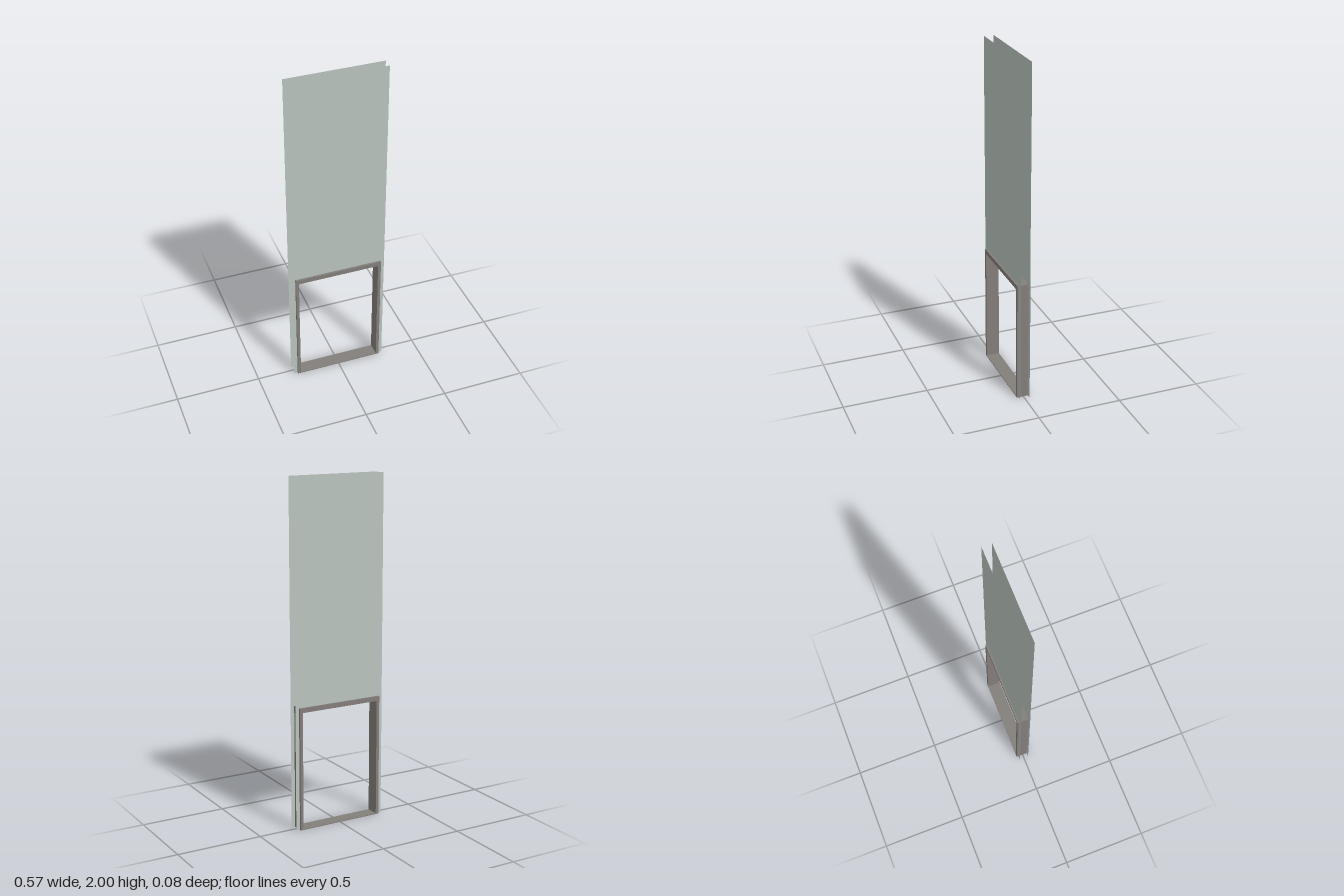
import * as THREE from 'three';

const WALL = { half: 0.284, height: 2, z: 0.028 };
const FRAME = { half: 0.261, height: 0.72, depth: 0.079, side: 0.018, head: 0.027, sill: 0.005 };

// Corners of a rectangle, counter-clockwise
const rect = (half, y0, y1) => [
  new THREE.Vector2(-half, y0), new THREE.Vector2(half, y0),
  new THREE.Vector2(half, y1), new THREE.Vector2(-half, y1),
];

export function createModel() {
  const model = new THREE.Group();
  model.name = 'framedOpening';

  const wallPaint = new THREE.MeshStandardMaterial({ color: 0xb8c3bd, side: THREE.DoubleSide });
  wallPaint.name = 'pale grey green';
  const framePaint = new THREE.MeshStandardMaterial({ color: 0x837e7a });
  framePaint.name = 'warm grey';

  // Wall sheet: a tall panel notched at the bottom to fit round the frame
  const sheet = new THREE.Shape([
    [-WALL.half, 0], [-FRAME.half, 0], [-FRAME.half, FRAME.height], [FRAME.half, FRAME.height],
    [FRAME.half, 0], [WALL.half, 0], [WALL.half, WALL.height], [-WALL.half, WALL.height],
  ].map(([x, y]) => new THREE.Vector2(x, y)));
  const sheetGeometry = new THREE.ShapeGeometry(sheet);
  for (const side of [1, -1]) {
    const wall = new THREE.Mesh(sheetGeometry, wallPaint);
    wall.name = side > 0 ? 'frontWall' : 'backWall';
    wall.position.z = side * WALL.z;
    if (side < 0) wall.rotation.y = Math.PI;
    model.add(wall);
  }

  // Frame: jambs, head and thin sill in one ring, standing proud of both sheets
  const ring = new THREE.Shape(rect(FRAME.half, 0, FRAME.height));
  ring.holes.push(new THREE.Path(
    rect(FRAME.half - FRAME.side, FRAME.sill, FRAME.height - FRAME.head).reverse()));
  const frameGeometry = new THREE.ExtrudeGeometry(ring, { depth: FRAME.depth, bevelEnabled: false });
  frameGeometry.translate(0, 0, -FRAME.depth / 2);
  const frame = new THREE.Mesh(frameGeometry, framePaint);
  frame.name = 'doorFrame';
  model.add(frame);

  return model;
}
